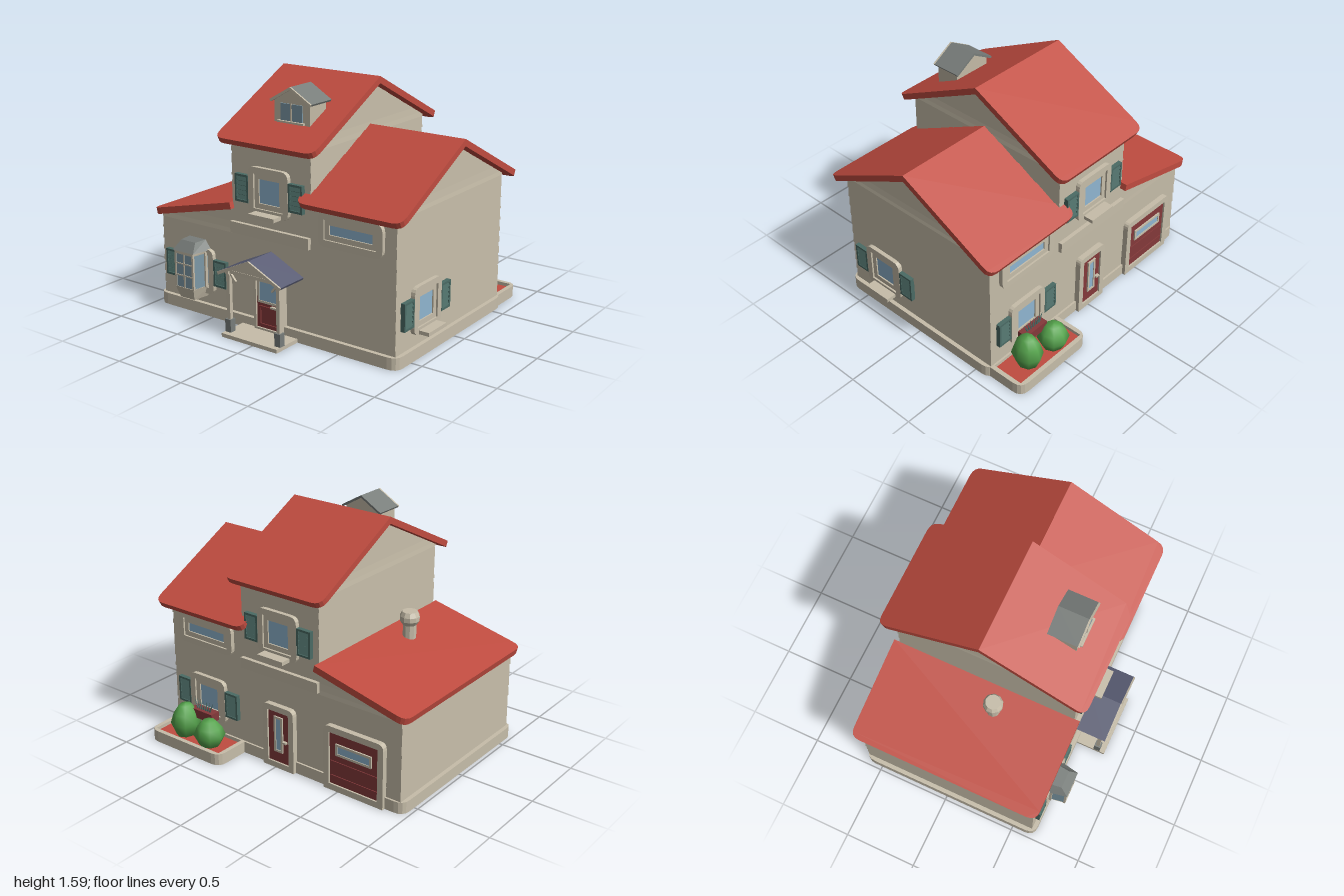
import * as THREE from 'three';

const mat = (name, color) => {
  const m = new THREE.MeshStandardMaterial({ color });
  m.name = name;
  return m;
};
const M = {
  wall: mat('siding', 0xc3baa6), trim: mat('trim', 0xc6bda9), roof: mat('redRoof', 0xc04c40),
  door: mat('doorRed', 0x84393a), shutter: mat('shutterGreen', 0x4b6b65), glass: mat('glass', 0x8fb5d0),
  dark: mat('shadedGlass', 0x7d98a6), slate: mat('porchSlate', 0x5a5d74), grey: mat('greyStone', 0x787d7a),
  bush: mat('leafGreen', 0x55a34c),
};

const add = (parent, name, geo, material, x = 0, y = 0, z = 0) => {
  const m = new THREE.Mesh(geo, material);
  m.name = name;
  m.position.set(x, y, z);
  parent.add(m);
  return m;
};
const box = (parent, name, w, h, d, material, x, y, z) =>
  add(parent, name, new THREE.BoxGeometry(w, h, d), material, x, y, z);
const group = (parent, name, x = 0, y = 0, z = 0, ry = 0) => {
  const g = new THREE.Group();
  g.name = name;
  g.position.set(x, y, z);
  g.rotation.y = ry;
  parent.add(g);
  return g;
};

// Rectangle with separately rounded top and bottom corners
function rounded(w, h, top, bottom = top, P = THREE.Shape) {
  const s = new P(), x = w / 2, y = h / 2;
  s.moveTo(-x + bottom, -y).lineTo(x - bottom, -y);
  if (bottom) s.quadraticCurveTo(x, -y, x, -y + bottom);
  s.lineTo(x, y - top);
  if (top) s.quadraticCurveTo(x, y, x - top, y);
  s.lineTo(-x + top, y);
  if (top) s.quadraticCurveTo(-x, y, -x, y - top);
  s.lineTo(-x, -y + bottom);
  if (bottom) s.quadraticCurveTo(-x, -y, -x + bottom, -y);
  return s;
}
const extrude = (shape, depth) =>
  new THREE.ExtrudeGeometry(shape, { depth, bevelEnabled: false, curveSegments: 4 });
function ring(w, h, border, depth, top, bottom = top) {
  const s = rounded(w, h, top, bottom);
  s.holes.push(rounded(w - 2 * border, h - 2 * border, 0, 0, THREE.Path));
  return extrude(s, depth);
}

// Flat-faced solid through loops of points, counterclockwise seen from above
function loft(rings) {
  const p = [], tri = (...v) => v.forEach((q) => p.push(...q));
  const n = rings[0].length, last = rings[rings.length - 1];
  for (let r = 0; r + 1 < rings.length; r++)
    for (let i = 0; i < n; i++) {
      const j = (i + 1) % n, [a, b, c, d] = [rings[r][i], rings[r][j], rings[r + 1][j], rings[r + 1][i]];
      tri(a, b, c);
      tri(a, c, d);
    }
  for (let i = 1; i + 1 < n; i++) {
    tri(last[0], last[i], last[i + 1]);
    tri(rings[0][0], rings[0][i + 1], rings[0][i]);
  }
  const g = new THREE.BufferGeometry();
  g.setAttribute('position', new THREE.Float32BufferAttribute(p, 3));
  g.computeVertexNormals();
  return g;
}
const quad = (y, x0, x1, z0, z1) => [[x0, y, z1], [x1, y, z1], [x1, y, z0], [x0, y, z0]];

// Lapped boards: every course is slightly wider at its lower edge
function siding(parent, name, eave, top, bounds) {
  const g = group(parent, name), levels = [eave, top];
  for (let y = 0.07; y < top - 0.01; y += 0.0765) levels.push(y);
  levels.sort((a, b) => a - b);
  for (let i = 0; i + 1 < levels.length; i++) {
    const [y0, y1] = [levels[i], levels[i + 1]], [a0, a1, ad] = bounds(y0), [b0, b1, bd] = bounds(y1);
    add(g, 'board', loft([quad(y0, a0 - 0.005, a1 + 0.005, 0.0125 - ad - 0.002, 0.0125 + ad + 0.002),
      quad(y1, b0, b1, 0.0125 - bd, 0.0125 + bd)]), M.wall);
  }
}
const gableBounds = (x0, x1, eave, top) => (y) =>
  [x0, x1, Math.max(0.002, 0.6175 * Math.min(1, (top - y) / (top - eave)))];

// Sloping slab with its ridge at the origin, falling towards local +z
function roofPanel(width, run, slope, t, r) {
  const a = Math.atan(slope), len = run / Math.cos(a), s = rounded(width, len, r, 0);
  return extrude(s, t).translate(0, len / 2, 0).rotateX(Math.PI / 2).rotateX(a);
}

function windowUnit(parent, name, w, h, { shutters = true, sill = true, glazed = true } = {}) {
  const g = group(parent, name);
  add(g, 'outerFrame', ring(w, h, 0.042, 0.03, 0.05), M.trim);
  if (glazed) {
    add(g, 'innerFrame', ring(w - 0.084, h - 0.084, 0.033, 0.018, 0), M.trim);
    box(g, 'pane', w - 0.14, h - 0.14, 0.008, M.glass, 0, 0, 0.005);
  }
  if (sill) box(g, 'sill', 0.2, 0.024, 0.1, M.trim, 0, -h / 2 + 0.013, 0.05);
  if (shutters) for (const s of [-1, 1]) {
    const sh = group(g, 'shutter', s * (w / 2 + 0.054), 0, 0);
    add(sh, 'shutterFrame', ring(0.106, 0.178, 0.014, 0.03, 0), M.shutter);
    box(sh, 'shutterBack', 0.1, 0.17, 0.014, M.shutter, 0, 0, 0.007);
    for (let i = 0; i < 5; i++)
      box(sh, 'slat', 0.08, 0.026, 0.008, M.shutter, 0, -0.06 + i * 0.03, 0.022).rotation.x = -0.4;
  }
  return g;
}

// Door standing on local y = 0; pane is [width, height, centre height]
function doorUnit(parent, name, w, h, border, depth, pane) {
  const g = group(parent, name), [pw, ph, py] = pane;
  add(g, 'doorFrame', ring(w, h, border, depth + 0.012, border, 0), M.trim, 0, h / 2, 0);
  box(g, 'doorLeaf', w - 2 * border, h - border, depth, M.door, 0, (h - border) / 2 + 0.004, depth / 2);
  add(g, 'paneFrame', ring(pw + 0.03, ph + 0.03, 0.015, 0.01, 0), M.trim, 0, py, depth);
  box(g, 'doorPane', pw, ph, 0.006, M.glass, 0, py, depth + 0.002);
  return g;
}

function bayWindow(parent) {
  const g = group(parent, 'bayWindow');
  const sec = (y, b, f, z) => [[-f, y, z], [f, y, z], [b, y, 0], [-b, y, 0]];
  add(g, 'bayBase', loft([sec(-0.18, 0.075, 0.06, 0.115), sec(-0.1, 0.1, 0.078, 0.14)]), M.trim);
  add(g, 'bayGlass', loft([sec(-0.1, 0.098, 0.075, 0.135), sec(0.13, 0.098, 0.075, 0.135)]), M.dark);
  add(g, 'bayHead', loft([sec(0.125, 0.1, 0.078, 0.14), sec(0.15, 0.105, 0.08, 0.14)]), M.trim);
  add(g, 'bayRoof', loft([sec(0.145, 0.115, 0.088, 0.145), sec(0.205, 0.07, 0.06, 0.09)]), M.grey);
  for (const s of [-1, 1]) {
    box(g, 'bayPost', 0.014, 0.24, 0.014, M.trim, s * 0.073, 0.015, 0.132);
    box(g, 'bayRearPost', 0.014, 0.24, 0.02, M.trim, s * 0.095, 0.015, 0.035);
  }
  box(g, 'mullion', 0.01, 0.24, 0.008, M.trim, 0, 0.015, 0.136);
  for (const y of [-0.02, 0.06]) box(g, 'glazingBar', 0.15, 0.008, 0.008, M.trim, 0, y, 0.136);
}

function gabledRoof(parent, name, material, width, run, slope, t) {
  const g = group(parent, name);
  for (const s of [-1, 1])
    add(g, 'roofSlope', roofPanel(width, run, slope, t, 0), material).rotation.y = s * Math.PI / 2;
  return g;
}
const triangle = (hw, h) => new THREE.Shape().moveTo(-hw, 0).lineTo(hw, 0).lineTo(0, h);

export function createModel() {
  const house = new THREE.Group();
  house.name = 'house';

  // Base and walls
  add(house, 'plinth', extrude(rounded(1.9, 1.28, 0.07), 0.078).rotateX(-Math.PI / 2), M.trim, -0.025, 0, 0.02);
  siding(house, 'middleWalls', 1.25, 1.56, gableBounds(-0.33, 0.28, 1.25, 1.56));
  siding(house, 'leftWingWalls', 0.94, 1.25, gableBounds(0.27, 0.893, 0.94, 1.25));
  siding(house, 'rightWingWalls', 0.635, 0.777, (y) =>
    [-0.943 + Math.max(0, y - 0.635) / 0.2345, -0.32, 0.6175]);

  // Main roofs
  for (const [name, x, w, y] of [['middleRoof', -0.025, 0.76, 1.59], ['leftWingRoof', 0.595, 0.75, 1.28]])
    for (const ry of [0, Math.PI])
      add(house, name, roofPanel(w, 0.7, 0.507, 0.04, 0.065), M.roof, x, y, 0.01).rotation.y = ry;
  add(house, 'rightWingRoof', roofPanel(1.316, 0.67, 0.2345, 0.044, 0.065), M.roof, -0.33, 0.815, 0.008)
    .rotation.y = -Math.PI / 2;

  // Wall faces: local x runs to the right as seen from outside
  const front = (x, y) => group(house, 'frontOpening', x, y, 0.63);
  const back = (x, y) => group(house, 'backOpening', x, y, -0.605, Math.PI);
  for (const face of [front, back]) {
    windowUnit(face(-0.025, 0.923), 'upperWindow', 0.31, 0.305);
    windowUnit(face(0.585, 0.775), 'wideWindow', 0.46, 0.21, { shutters: false, sill: false });
    box(face(-0.028, 0.655), 'trimBoard', 0.615, 0.072, 0.056, M.trim, 0, 0, 0);
  }
  windowUnit(group(house, 'sideOpening', 0.895, 0.31, 0.32, Math.PI / 2), 'sideWindow', 0.305, 0.305);
  const bay = front(-0.642, 0.308);
  windowUnit(bay, 'baySurround', 0.305, 0.305, { sill: false, glazed: false });
  bayWindow(bay);

  // Doors
  const entry = doorUnit(front(-0.023, 0.02), 'frontDoor', 0.225, 0.41, 0.018, 0.038, [0.14, 0.135, 0.27]);
  add(entry, 'doorPanel', ring(0.15, 0.13, 0.012, 0.008, 0), M.door, 0, 0.1, 0.038);
  box(entry, 'doorHandle', 0.05, 0.012, 0.02, M.trim, 0.05, 0.172, 0.048);
  const rear = doorUnit(back(-0.025, 0), 'backDoor', 0.25, 0.44, 0.04, 0.026, [0.04, 0.22, 0.24]);
  box(rear, 'doorHandle', 0.03, 0.012, 0.02, M.trim, 0.055, 0.2, 0.036);
  const garage = doorUnit(back(-0.615, 0), 'garageDoor', 0.45, 0.44, 0.042, 0.026, [0.24, 0.05, 0.29]);
  for (const y of [0.1, 0.2]) box(garage, 'garageRail', 0.35, 0.008, 0.008, M.door, 0, y, 0.028);

  // Porch
  const porch = group(house, 'porch', -0.027, 0, 0);
  box(porch, 'porchStep', 0.44, 0.025, 0.24, M.trim, 0, 0.0125, 0.745);
  for (const s of [-1, 1]) {
    box(porch, 'postBase', 0.045, 0.085, 0.045, M.grey, s * 0.197, 0.067, 0.807);
    box(porch, 'porchPost', 0.026, 0.33, 0.026, M.trim, s * 0.197, 0.265, 0.807);
    box(porch, 'sideBeam', 0.026, 0.026, 0.2, M.trim, s * 0.197, 0.425, 0.73);
    box(porch, 'brace', 0.012, 0.08, 0.015, M.trim, s * 0.17, 0.395, 0.807).rotation.z = s * -0.7;
  }
  box(porch, 'frontBeam', 0.42, 0.022, 0.022, M.trim, 0, 0.427, 0.807);
  add(porch, 'porchGable', extrude(triangle(0.2, 0.095), 0.015), M.trim, 0, 0.43, 0.8);
  gabledRoof(porch, 'porchRoof', M.slate, 0.22, 0.25, 0.47, 0.016).position.set(0, 0.543, 0.74);
  gabledRoof(porch, 'porchRoofTrim', M.trim, 0.012, 0.25, 0.47, 0.02).position.set(0, 0.543, 0.855);

  // Dormer
  const dormer = group(house, 'dormer', 0.048, 0, 0);
  box(dormer, 'dormerBody', 0.27, 0.155, 0.165, M.wall, 0, 1.412, 0.423);
  add(dormer, 'dormerGable', extrude(triangle(0.135, 0.07), 0.165), M.wall, 0, 1.485, 0.34);
  gabledRoof(dormer, 'dormerRoof', M.grey, 0.2, 0.157, 0.58, 0.014).position.set(0, 1.568, 0.415);
  gabledRoof(dormer, 'dormerRoofTrim', M.trim, 0.012, 0.157, 0.58, 0.016).position.set(0, 1.568, 0.52);
  box(dormer, 'dormerSill', 0.2, 0.012, 0.025, M.trim, 0, 1.349, 0.515);
  for (const s of [-1, 1]) box(dormer, 'dormerPane', 0.078, 0.105, 0.009, M.dark, s * 0.043, 1.408, 0.509);
  box(dormer, 'dormerMullion', 0.01, 0.11, 0.016, M.trim, 0, 1.408, 0.51);

  // Chimney pot
  const pot = [[0.045, 0], [0.045, 0.12], [0.065, 0.15], [0.065, 0.18], [0.05, 0.21], [0, 0.21]];
  const lathe = (pts, n) => new THREE.LatheGeometry(pts.map(([x, y]) => new THREE.Vector2(x, y)), n);
  add(house, 'chimney', lathe(pot, 10).toNonIndexed(), M.trim, -0.482, 0.74, 0.132).geometry.computeVertexNormals();

  // Planter bed with two bushes
  const bed = group(house, 'planterBed', 0.595, 0, -0.725);
  add(bed, 'planterRim', ring(0.62, 0.28, 0.03, 0.078, 0.07, 0).rotateX(-Math.PI / 2), M.trim);
  box(bed, 'soil', 0.565, 0.055, 0.225, M.roof, 0, 0.0275, 0);
  const leaf = [[0, 0], [0.07, 0], [0.108, 0.09], [0.085, 0.16], [0.045, 0.215], [0, 0.225]];
  add(bed, 'tallBush', lathe(leaf, 8), M.bush, 0.105, 0.052, -0.005).scale.x = 0.88;
  add(bed, 'lowBush', lathe(leaf, 8), M.bush, -0.12, 0.052, -0.02).scale.set(0.98, 0.8, 0.95);

  // Back window with a flower box
  const garden = windowUnit(back(0.585, 0.31), 'gardenWindow', 0.305, 0.305, { sill: false });
  box(garden, 'flowerBox', 0.19, 0.06, 0.07, M.door, 0, -0.1, 0.065);
  for (let i = 0; i < 7; i++)
    add(garden, 'sprig', new THREE.ConeGeometry(0.008, 0.08, 4), M.shutter, -0.07 + i * 0.0233, -0.035, 0.07)
      .rotation.z = (3 - i) * 0.15;
  return house;
}
